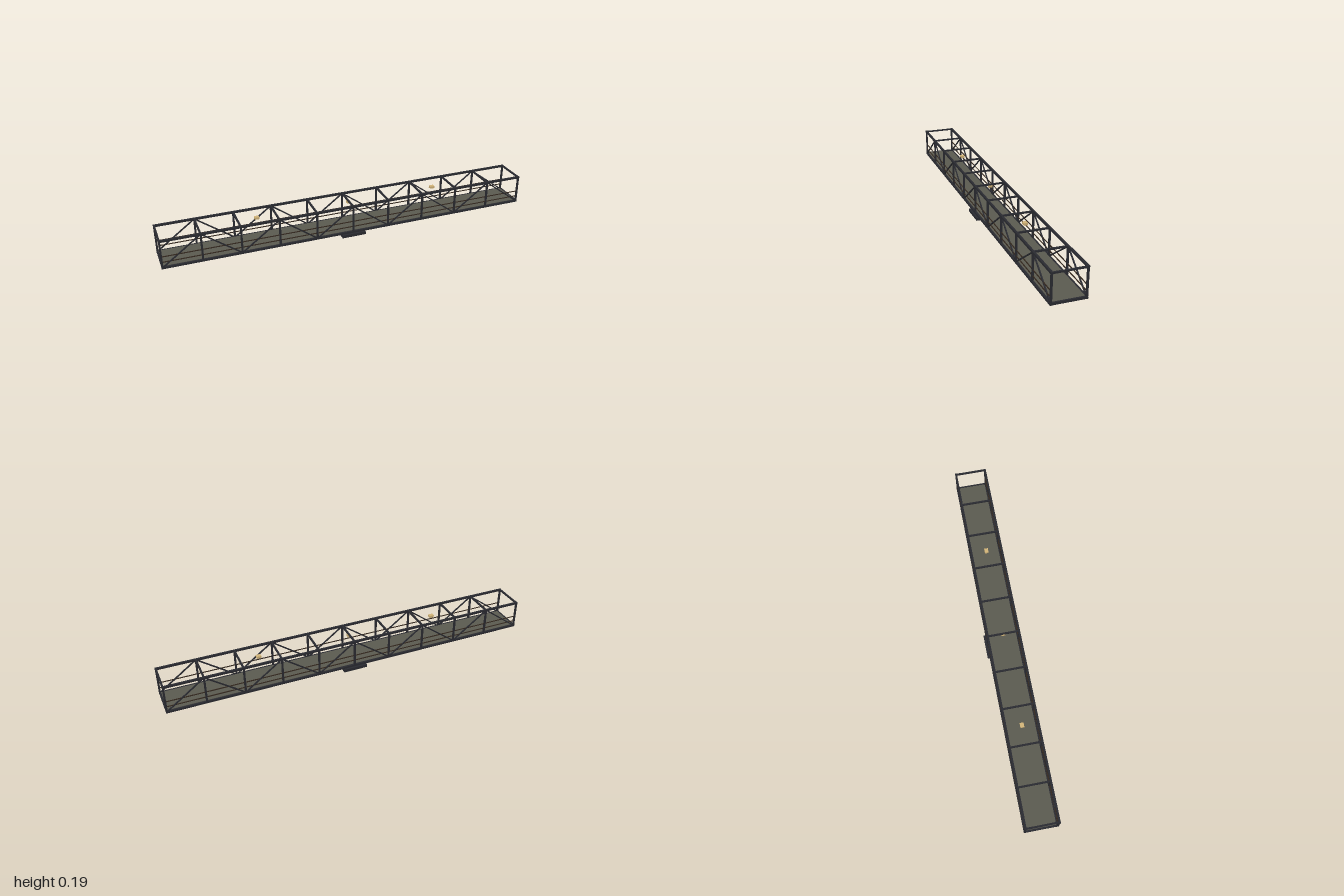
import * as THREE from 'three';

const mat = (name, color) => {
  const m = new THREE.MeshStandardMaterial({ color });
  m.name = name;
  return m;
};

export function createModel() {
  const steel = mat('dark steel', 0x2a2b31);
  const bronze = mat('dark bronze', 0x35291f);
  const decking = mat('grey decking', 0x5c5b51);
  const lampGlow = mat('warm lamp', 0xd4b67a);
  const blue = mat('blue sensor', 0x2f97b8);

  const model = new THREE.Group();
  model.name = 'trussBridge';

  const box = (name, material, w, h, d, x, y, z) => {
    const mesh = new THREE.Mesh(new THREE.BoxGeometry(w, h, d), material);
    mesh.name = name;
    mesh.position.set(x, y, z);
    model.add(mesh);
    return mesh;
  };

  const END = 0.995, SIDE = 0.083, LOW = 0.033, HIGH = 0.18, BAYS = 10;
  const stationX = (i) => -END + (2 * END * i) / BAYS;

  // Deck slab with a thin walking surface
  box('deckSlab', steel, 1.99, 0.009, 0.157, 0, 0.0335, 0);
  box('deckSurface', decking, 1.98, 0.002, 0.155, 0, 0.039, 0);

  for (const side of [-1, 1]) {
    const z = side * SIDE;
    // Chords
    box('topChord', steel, 2, 0.0105, 0.0105, 0, HIGH, z);
    box('bottomChord', steel, 2, 0.0105, 0.0105, 0, LOW, z);

    // Handrails
    for (const y of [0.064, 0.094]) box('handrail', bronze, 1.99, 0.004, 0.004, 0, y, z);

    // Posts
    for (let i = 0; i <= BAYS; i++) {
      box('post', steel, 0.009, HIGH - LOW, 0.009, stationX(i), (HIGH + LOW) / 2, z);
    }

    // Zigzag diagonals
    for (let i = 0; i < BAYS; i++) {
      const dx = stationX(i + 1) - stationX(i), dy = HIGH - LOW;
      const brace = box('diagonal', steel, Math.hypot(dx, dy), 0.006, 0.006,
        stationX(i) + dx / 2, (HIGH + LOW) / 2, z);
      brace.rotation.z = Math.atan2(i % 2 ? -dy : dy, dx);
    }
  }

  // Overhead cross beams
  for (let i = 0; i <= BAYS; i++) {
    box('crossBeam', steel, 0.009, 0.008, 2 * SIDE, stationX(i), HIGH, 0);
  }
  // End sills
  for (const x of [-END, END]) box('endSill', steel, 0.009, 0.012, 0.157, x, 0.034, 0);

  // Hanging lamps
  for (const x of [-0.495, 0, 0.495]) {
    box('lamp', lampGlow, x ? 0.024 : 0.013, 0.012, 0.02, x, 0.1705, 0);
  }

  // Central mounting plate and sensor underneath
  box('mountPlate', steel, 0.13, 0.016, 0.196, 0, 0.0195, 0);
  box('sensor', blue, 0.03, 0.012, 0.03, 0, 0.006, 0);

  return model;
}
